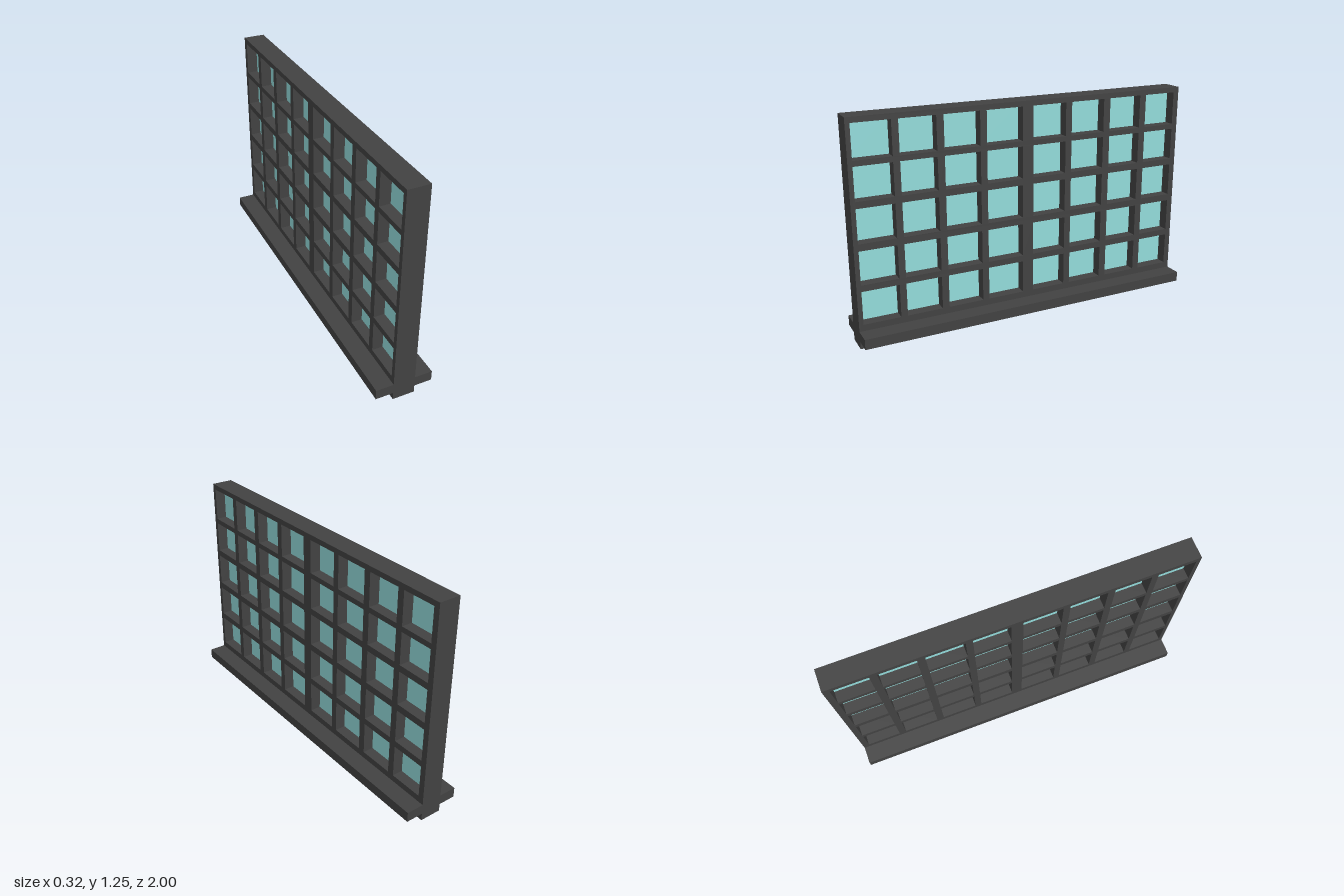
import * as THREE from 'three';

const DEPTH = 0.124, HEIGHT = 1.25;

// Openings as [start, end] spans along the length (z) and the height (y)
const COLUMNS = [
  [-0.966, -0.768], [-0.728, -0.524], [-0.482, -0.273], [-0.235, -0.032],
  [0.032, 0.246], [0.284, 0.488], [0.528, 0.73], [0.767, 0.975],
];
const ROWS = [[0.138, 0.326], [0.362, 0.551], [0.59, 0.78], [0.817, 1.0], [1.03, 1.22]];

function rectangle(Type, x0, y0, x1, y1) {
  const r = new Type();
  r.moveTo(x0, y0);
  r.lineTo(x1, y0);
  r.lineTo(x1, y1);
  r.lineTo(x0, y1);
  r.closePath();
  return r;
}

export function createModel() {
  const model = new THREE.Group();
  model.name = 'windowWall';
  const frameMaterial = new THREE.MeshStandardMaterial({ color: 0x424242 });
  const glassMaterial = new THREE.MeshStandardMaterial({ color: 0x93dcdb, side: THREE.DoubleSide });

  const add = (name, geometry, material) => {
    const mesh = new THREE.Mesh(geometry, material);
    mesh.name = name;
    model.add(mesh);
    return mesh;
  };

  // Lattice frame: one slab pierced by the grid of openings
  const outline = rectangle(THREE.Shape, -1, 0, 1, HEIGHT);
  for (const [z0, z1] of COLUMNS) {
    for (const [y0, y1] of ROWS) outline.holes.push(rectangle(THREE.Path, z0, y0, z1, y1));
  }
  const frame = new THREE.ExtrudeGeometry(outline, { depth: DEPTH, bevelEnabled: false });
  frame.translate(0, 0, -DEPTH / 2).rotateY(-Math.PI / 2);
  add('latticeFrame', frame, frameMaterial);

  // Glass panes in the middle of the frame depth
  for (const [z0, z1] of COLUMNS) {
    for (const [y0, y1] of ROWS) {
      const pane = new THREE.PlaneGeometry(z1 - z0, y1 - y0).rotateY(Math.PI / 2);
      add('glassPane', pane, glassMaterial).position.set(0, (y0 + y1) / 2, (z0 + z1) / 2);
    }
  }

  // Sill ledges on both faces
  const ledgeWidth = 0.162 - DEPTH / 2;
  for (const side of [-1, 1]) {
    const ledge = add(side > 0 ? 'leftSill' : 'rightSill',
      new THREE.BoxGeometry(ledgeWidth, 0.058, 2), frameMaterial);
    ledge.position.set(side * (DEPTH / 2 + ledgeWidth / 2), 0.072, 0);
  }

  return model;
}
